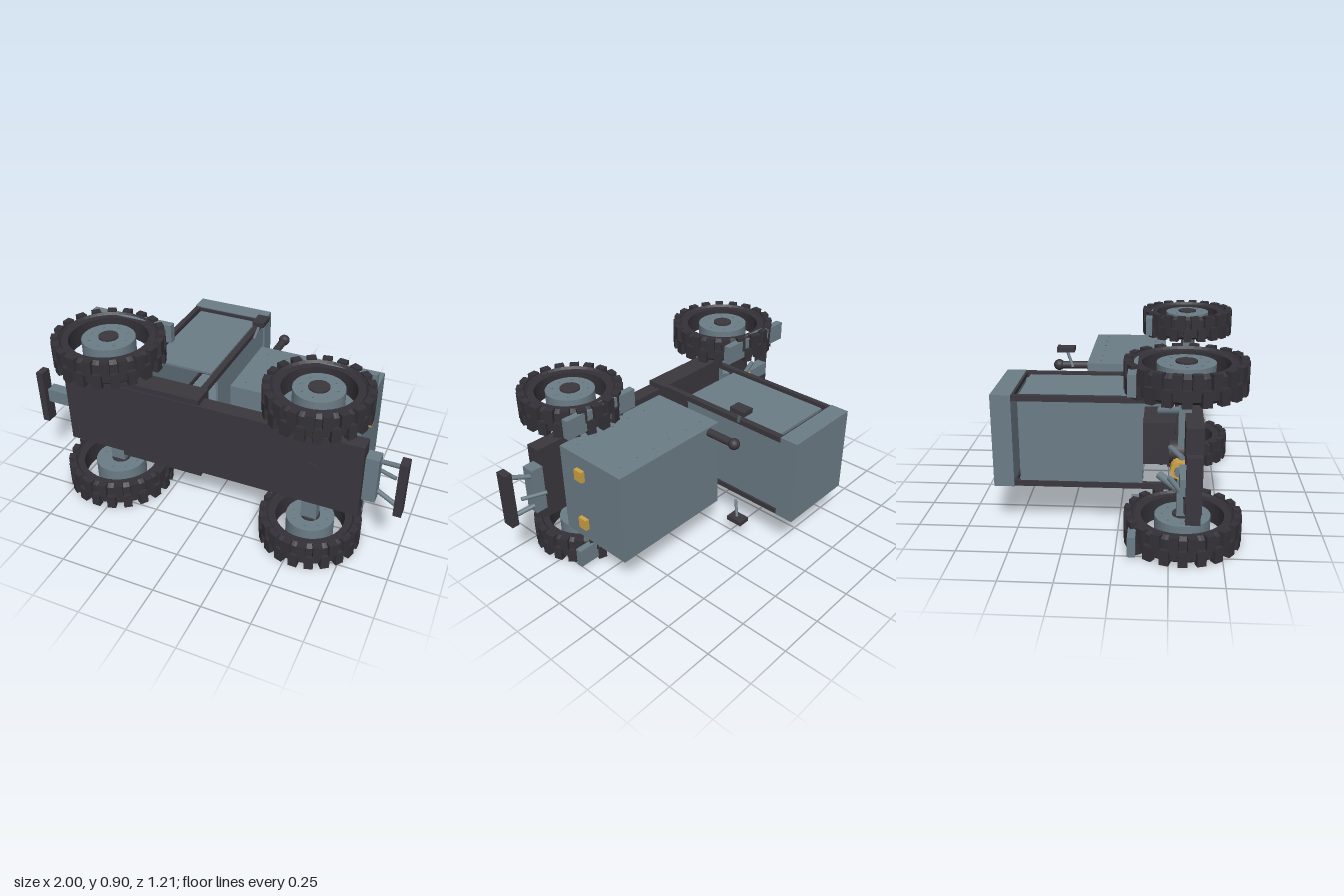
import * as THREE from 'three';

const mat = (name, color) => {
  const m = new THREE.MeshStandardMaterial({ color });
  m.name = name;
  return m;
};

export function createModel() {
  const root = new THREE.Group();
  root.name = 'tractorOnItsSide';
  const steel = mat('blueGreySteel', 0x6c7d87);
  const dark = mat('darkIron', 0x3a373e);
  const rubber = mat('tyreRubber', 0x343238);
  const amber = mat('amber', 0xcfa244);

  const MID = 0.455; // the tractor lies on its side, so y runs across it and -z is its roof
  const add = (name, geo, m, parent = root) => {
    const mesh = new THREE.Mesh(geo, m);
    mesh.name = name;
    parent.add(mesh);
    return mesh;
  };
  // box from its limits on each axis
  const box = (name, m, x0, x1, y0, y1, z0, z1, parent = root) => {
    const b = add(name, new THREE.BoxGeometry(x1 - x0, y1 - y0, z1 - z0), m, parent);
    b.position.set((x0 + x1) / 2, (y0 + y1) / 2, (z0 + z1) / 2);
    return b;
  };
  // the same box on both sides of the centre line, at offsets d0 to d1
  const pair = (name, m, x0, x1, d0, d1, z0, z1) => {
    box(name, m, x0, x1, MID + d0, MID + d1, z0, z1);
    box(name, m, x0, x1, MID - d1, MID - d0, z0, z1);
  };
  const rod = (name, m, a, b, r) => {
    const p = new THREE.Vector3(...a), q = new THREE.Vector3(...b);
    const c = add(name, new THREE.CylinderGeometry(r, r, p.distanceTo(q), 14), m);
    c.position.copy(p).add(q).multiplyScalar(0.5);
    c.quaternion.setFromUnitVectors(new THREE.Vector3(0, 1, 0), q.sub(p).normalize());
    return c;
  };

  // chassis, cab floor, gearbox and axles
  box('chassis', dark, -0.805, 0.8, 0.25, 0.66, 0.315, 0.395);
  box('cabFloor', dark, -0.49, -0.035, 0.22, 0.69, 0.275, 0.39);
  box('gearbox', dark, -0.47, -0.225, 0.35, 0.56, 0.12, 0.28);
  box('rearAxle', steel, -0.6, -0.52, 0.1, 0.81, 0.285, 0.345);
  box('frontAxle', steel, 0.51, 0.59, 0.1, 0.81, 0.32, 0.375);
  rod('axlePivot', dark, [0.55, MID, 0.3], [0.55, MID, 0.402], 0.046);
  rod('differential', dark, [-0.56, MID, 0.245], [-0.56, MID, 0.33], 0.055);

  // wheels: tyre ring, staggered tread blocks, hub and cap
  const wheel = (name, x, y, z, R, inner, hubR, w) => {
    const g = new THREE.Group();
    g.name = name;
    g.position.set(x, y, z);
    root.add(g);
    const h = w / 2, r = R - 0.02;
    const profile = [
      [inner, -h * 0.75], [inner + 0.035, -h * 0.75], [inner + 0.045, -h * 0.92], [r - 0.02, -h * 0.92],
      [r, -h * 0.7], [r, h * 0.7], [r - 0.02, h * 0.92], [inner + 0.045, h * 0.92],
      [inner + 0.035, h * 0.75], [inner, h * 0.75], [inner, -h * 0.75],
    ].map(p => new THREE.Vector2(...p));
    const ring = new THREE.LatheGeometry(profile, 40).toNonIndexed();
    ring.computeVertexNormals();
    add('tyre', ring, rubber, g);
    const n = 20;
    for (let i = 0; i < n * 2; i++) {
      const a = (i / (n * 2)) * Math.PI * 2, s = i % 2 ? 1 : -1;
      const lug = add('treadBlock', new THREE.BoxGeometry(0.036, h * 1.05, 0.045), rubber, g);
      lug.position.set(Math.cos(a) * (R - 0.02), s * h * 0.475, Math.sin(a) * (R - 0.02));
      lug.rotation.y = -a;
    }
    add('hub', new THREE.CylinderGeometry(hubR, hubR, w * 0.76, 32), steel, g);
    add('hubCap', new THREE.CylinderGeometry(0.05, 0.05, w * 0.88, 20), dark, g);
    for (const s of [-1, 1]) for (let i = 0; i < 8; i++) {
      const a = (i / 8) * Math.PI * 2;
      const bolt = add('wheelBolt', new THREE.CylinderGeometry(0.005, 0.005, 0.006, 6), steel, g);
      bolt.position.set(Math.cos(a) * hubR * 0.72, s * w * 0.39, Math.sin(a) * hubR * 0.72);
    }
  };
  for (const s of [-1, 1]) {
    wheel('rearWheel', -0.56, MID + s * 0.378, 0.315, 0.285, 0.2, 0.135, 0.145);
    wheel('frontWheel', 0.55, MID + s * 0.382, 0.34, 0.26, 0.175, 0.122, 0.14);
  }

  // flat mudguards
  pair('rearMudguard', steel, -0.79, -0.325, 0.335, 0.435, 0.06, 0.098);
  pair('frontMudguard', steel, 0.34, 0.765, 0.335, 0.435, 0.105, 0.14);

  // bonnet with lamps, louvres and rivets
  box('bonnet', steel, 0.06, 0.735, 0.21, 0.7, -0.2, 0.22);
  pair('headlamp', amber, 0.735, 0.757, 0.113, 0.173, 0.05, 0.102);
  for (let i = 0; i < 9; i++) {
    const z = -0.01 + i * 0.0215;
    box('louvre', dark, 0.31, 0.69, 0.196, 0.211, z - 0.004, z + 0.004);
  }
  for (const y of [0.21, 0.7]) for (const z of [-0.13, 0.16]) for (let i = 0; i < 6; i++) {
    const rivet = add('rivet', new THREE.CylinderGeometry(0.005, 0.005, 0.008, 6), steel);
    rivet.position.set(0.12 + i * 0.11, y, z);
  }

  // exhaust
  rod('exhaustPipe', dark, [0.13, 0.672, -0.19], [0.13, 0.672, -0.35], 0.021);
  const cap = add('exhaustCap', new THREE.SphereGeometry(0.03, 18, 12), dark);
  cap.position.set(0.13, 0.672, -0.36);

  // cab: posts, panels and roof
  box('roof', steel, -0.485, -0.045, 0.22, 0.69, -0.61, -0.51);
  pair('roofRail', dark, -0.475, -0.05, 0.208, 0.23, -0.515, -0.5);
  pair('frontPost', dark, -0.077, -0.045, 0.205, 0.233, -0.51, 0.28);
  pair('rearPost', dark, -0.48, -0.452, 0.205, 0.233, -0.51, 0.28);
  pair('sidePanel', steel, -0.435, -0.09, 0.212, 0.224, -0.48, 0.12);
  box('frontPanel', steel, -0.067, -0.055, 0.24, 0.67, -0.51, 0.12);
  box('rearPanel', steel, -0.472, -0.46, 0.25, 0.66, -0.48, 0.12);

  // mirrors, rear struts and lift arms
  for (const s of [-1, 1]) {
    const at = d => MID + s * d;
    rod('mirrorArm', steel, [-0.012, at(0.245), -0.268], [0.012, at(0.33), -0.3], 0.008);
    pair('mirror', dark, -0.02, 0.045, 0.325, 0.35, -0.35, -0.258);
    rod('rearStrut', steel, [-0.46, at(0.165), 0.2], [-0.57, at(0.205), 0.31], 0.02);
    rod('liftArm', steel, [-0.7, at(0.075), 0.25], [-0.83, at(0.08), 0.3], 0.013);
    rod('bumperStay', steel, [0.85, at(0.085), 0.305], [0.965, at(0.115), 0.345], 0.012);
  }

  // front and rear hitches with bumpers
  box('frontHitch', steel, 0.8, 0.865, 0.33, 0.58, 0.29, 0.36);
  rod('topLink', steel, [0.82, MID, 0.25], [0.94, MID, 0.295], 0.01);
  box('frontBumper', dark, 0.96, 1, 0.3, 0.605, 0.315, 0.38);
  box('drawbar', steel, -0.966, -0.8, 0.415, 0.492, 0.29, 0.352);
  box('rearBumper', dark, -1, -0.962, 0.3, 0.605, 0.315, 0.38);
  rod('powerTakeOff', amber, [-0.73, MID, 0.29], [-0.79, MID, 0.29], 0.04);
  rod('powerTakeOffShaft', steel, [-0.72, MID, 0.29], [-0.81, MID, 0.29], 0.022);

  return root;
}
